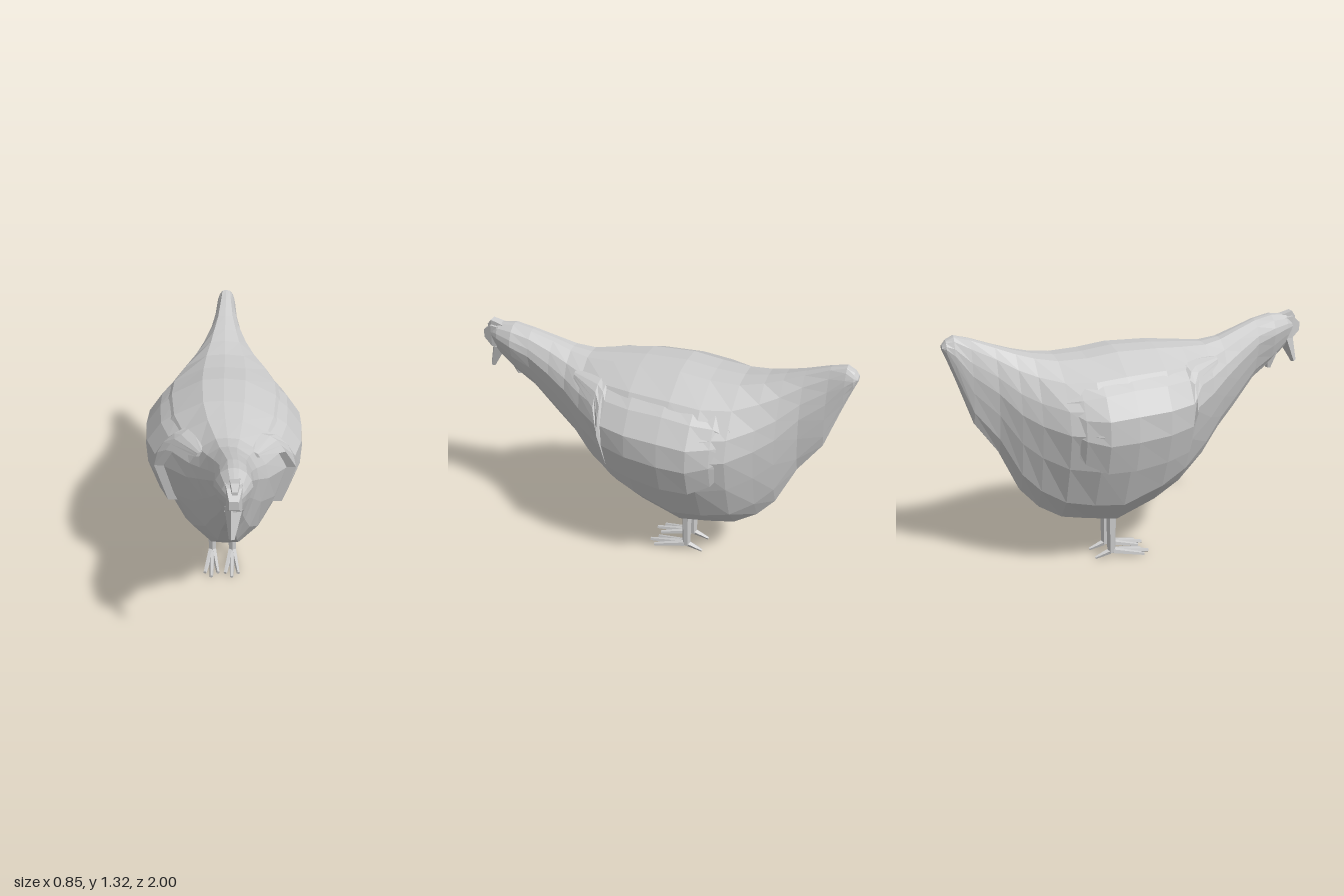
import * as THREE from 'three';

const material = new THREE.MeshStandardMaterial({ color: 0xcccccc, flatShading: true });
const { lerp } = THREE.MathUtils;

// Half outlines of a cross-section: [share of width, share of height], belly to back
const EGG = [[0, 0], [0.24, 0.01], [0.56, 0.15], [0.83, 0.4], [1, 0.63], [0.92, 0.76], [0.68, 0.9], [0.28, 0.99], [0, 1]];
const TAIL = [[0, 0], [0.4, 0.01], [0.72, 0.16], [0.92, 0.4], [1, 0.6], [0.9, 0.75], [0.66, 0.9], [0.4, 0.99], [0, 1]];

// Body stations, beak end to tail: z, bottom, top, half width, centre x, tail blend
const STATIONS = [
  [0.96, 1.13, 1.24, 0.03, 0.065, 0], [0.91, 1.08, 1.265, 0.06, 0.063, 0],
  [0.82, 1.0, 1.275, 0.09, 0.06, 0], [0.72, 0.925, 1.255, 0.09, 0.055, 0],
  [0.6, 0.78, 1.215, 0.115, 0.04, 0], [0.5, 0.67, 1.18, 0.15, 0.03, 0],
  [0.4, 0.53, 1.165, 0.205, 0.025, 0], [0.25, 0.4, 1.18, 0.31, 0.01, 0],
  [0.1, 0.32, 1.195, 0.375, 0, 0], [-0.12, 0.235, 1.2, 0.405, -0.005, 0],
  [-0.28, 0.26, 1.18, 0.4, -0.005, 0], [-0.43, 0.29, 1.175, 0.335, -0.005, 0.2],
  [-0.55, 0.36, 1.195, 0.24, -0.008, 0.4], [-0.64, 0.46, 1.22, 0.175, -0.01, 0.6],
  [-0.74, 0.68, 1.255, 0.11, -0.01, 0.8], [-0.86, 0.85, 1.3, 0.07, -0.01, 1],
  [-0.94, 1.09, 1.32, 0.053, -0.01, 1], [-0.98, 1.2, 1.3, 0.042, -0.01, 1],
  [-1.0, 1.25, 1.275, 0.025, -0.01, 1],
];

const outline = (k) => EGG.map((p, i) => [lerp(p[0], TAIL[i][0], k), lerp(p[1], TAIL[i][1], k)]);

function ringAt([z, y0, y1, w, cx, k]) {
  const half = outline(k).map(([a, t]) => [a * w, lerp(y0, y1, t)]);
  const right = half.map(([x, y]) => [cx + x, y, z]);
  const left = half.slice(1, -1).reverse().map(([x, y]) => [cx - x, y, z]);
  return [...right, ...left];
}

// x of the body surface at a height and depth, on side s
function surfaceX(z, y, s) {
  let i = 0;
  while (i < STATIONS.length - 2 && STATIONS[i + 1][0] > z) i++;
  const a = STATIONS[i], b = STATIONS[i + 1];
  const f = (a[0] - z) / (a[0] - b[0]);
  const [, y0, y1, w, cx, k] = a.map((v, n) => lerp(v, b[n], f));
  const t = (y - y0) / (y1 - y0), pts = outline(k);
  let j = 0;
  while (j < pts.length - 2 && pts[j + 1][1] < t) j++;
  const g = THREE.MathUtils.clamp((t - pts[j][1]) / (pts[j + 1][1] - pts[j][1]), 0, 1);
  return cx + s * w * lerp(pts[j][0], pts[j + 1][0], g);
}

// Closed skin over rings running front to back, each anticlockwise seen from +z
function loft(name, rings) {
  const n = rings[0].length, pos = rings.flat(2), index = [];
  for (let r = 0; r < rings.length - 1; r++) {
    for (let j = 0; j < n; j++) {
      const a = r * n + j, b = r * n + ((j + 1) % n);
      index.push(a, a + n, b, b, a + n, b + n);
    }
  }
  [0, rings.length - 1].forEach((r, end) => {
    const c = pos.length / 3;
    for (let k = 0; k < 3; k++) pos.push(rings[r].reduce((sum, p) => sum + p[k], 0) / n);
    for (let j = 0; j < n; j++) {
      const a = r * n + j, b = r * n + ((j + 1) % n);
      index.push(c, end ? b : a, end ? a : b);
    }
  });
  const g = new THREE.BufferGeometry();
  g.setAttribute('position', new THREE.Float32BufferAttribute(pos, 3));
  g.setIndex(index);
  g.computeVertexNormals();
  const mesh = new THREE.Mesh(g, material);
  mesh.name = name;
  return mesh;
}

// Tapered bar between two points
function bar(name, from, to, r0, r1, sides = 6) {
  const a = new THREE.Vector3(...from), b = new THREE.Vector3(...to);
  const dir = b.clone().sub(a);
  const mesh = new THREE.Mesh(new THREE.CylinderGeometry(r1, r0, dir.length(), sides), material);
  mesh.position.copy(a).add(b).multiplyScalar(0.5);
  mesh.quaternion.setFromUnitVectors(new THREE.Vector3(0, 1, 0), dir.normalize());
  mesh.name = name;
  return mesh;
}

// Folded wing: a slab following the body, standing proud at the front and lower edges
function wing(s) {
  const spans = [
    [0.44, 1.08, 1.11, 0.015], [0.28, 1.01, 1.12, 0.045], [0.24, 0.89, 1.12, 0.05],
    [0.22, 0.66, 1.12, 0.05], [0.08, 0.64, 1.12, 0.042], [-0.1, 0.625, 1.12, 0.035],
    [-0.25, 0.625, 1.1, 0.03], [-0.36, 0.68, 1.07, 0.012], [-0.44, 0.78, 1.0, -0.02],
  ];
  const rows = [[0, 1], [0.35, 1], [0.62, 1], [0.85, 0.6], [1, -0.1]];
  const rings = spans.map(([z, y0, y1, off]) => {
    const at = (t, o) => { const y = lerp(y0, y1, t); return [surfaceX(z, y, s) + s * o, y, z]; };
    const ring = [...rows.map(([t, m]) => at(t, off * m)), ...rows.map(([t]) => at(t, -0.035)).reverse()];
    return s > 0 ? ring : ring.reverse();
  });
  return loft(s > 0 ? 'leftWing' : 'rightWing', rings);
}

// Leg with three front toes and one hind toe
function leg(s) {
  const g = new THREE.Group();
  g.name = s > 0 ? 'leftLeg' : 'rightLeg';
  g.position.set(-0.014 + s * 0.058, 0, -0.145);
  g.add(bar('shank', [0, 0.035, 0], [0, 0.3, 0], 0.023, 0.029));
  for (const t of [-1, 0, 1]) {
    g.add(bar('frontToe', [t * 0.008, 0.042, 0.01], [t * 0.038, 0.011, t ? 0.18 : 0.215], 0.018, 0.01, 5));
  }
  g.add(bar('hindToe', [0, 0.04, -0.01], [0, 0.011, -0.093], 0.018, 0.008, 5));
  return g;
}

export function createModel() {
  const hen = new THREE.Group();
  hen.name = 'hen';
  hen.add(loft('body', STATIONS.map(ringAt)));
  for (const s of [1, -1]) hen.add(wing(s), leg(s));

  // Blunt brow with a small comb above the beak
  const box = (x, y0, y1, w, z) => [[x - w, y0, z], [x + w, y0, z], [x + w, y1, z], [x - w, y1, z]];
  hen.add(loft('brow', [box(0.065, 1.17, 1.215, 0.022, 0.998), box(0.065, 1.13, 1.255, 0.035, 0.95), box(0.063, 1.14, 1.25, 0.04, 0.9)]));
  hen.add(loft('comb', [box(0.068, 1.22, 1.25, 0.012, 0.975), box(0.068, 1.2, 1.282, 0.02, 0.95), box(0.066, 1.2, 1.262, 0.025, 0.88)]));

  // Beak pointing down, and the wattle under the throat
  hen.add(bar('beak', [0.062, 1.13, 0.925], [0.055, 0.992, 0.978], 0.042, 0.014, 4));
  const wattle = bar('wattle', [0.055, 1.06, 0.83], [0.05, 0.97, 0.82], 0.045, 0.015, 5);
  hen.add(wattle);
  return hen;
}
